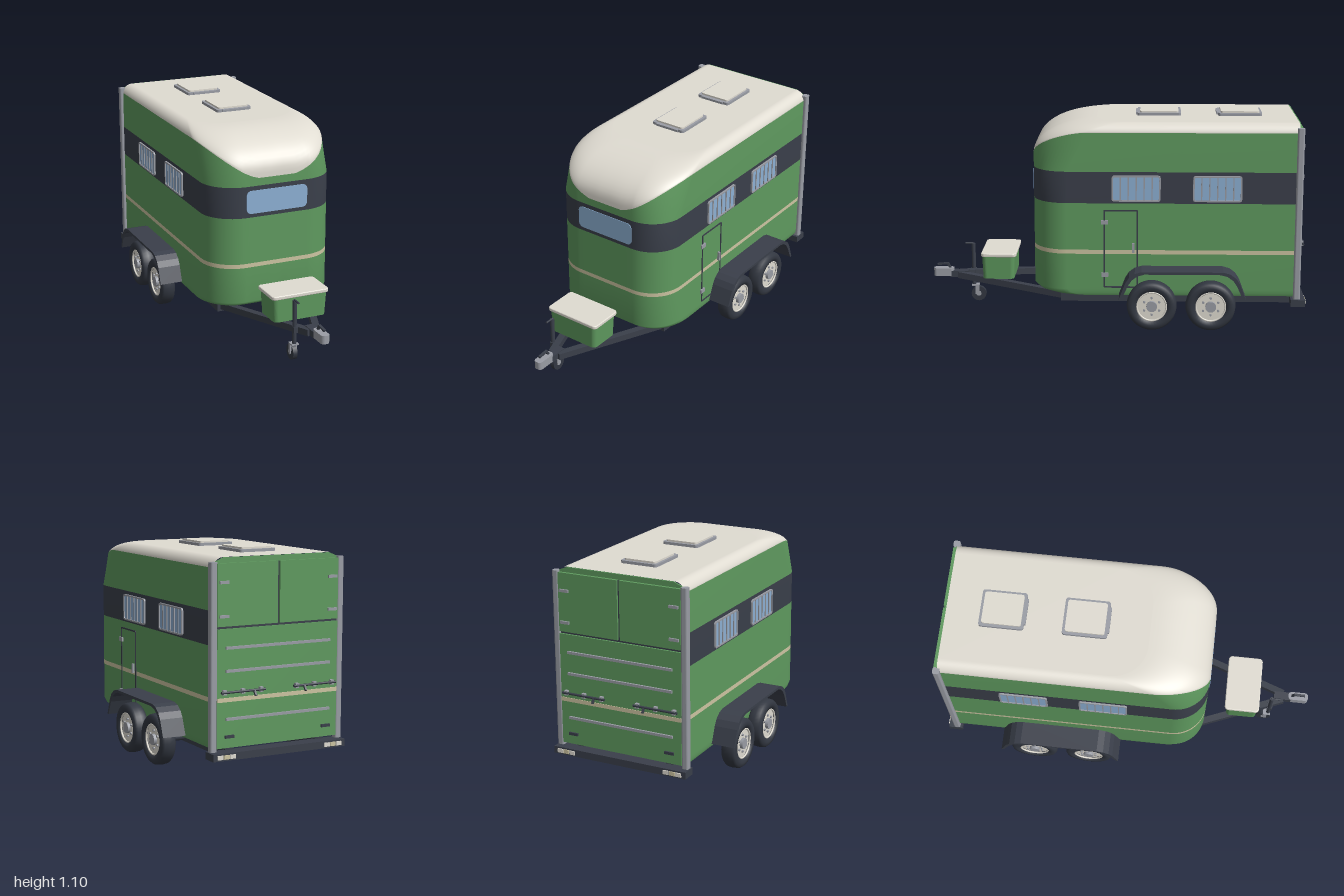
import * as THREE from 'three';

const mat = (name, color) => {
  const m = new THREE.MeshStandardMaterial({ color });
  m.name = name;
  return m;
};

export function createModel() {
  const green = mat('green paint', 0x5f9a5f), white = mat('roof white', 0xe0dcd2);
  const dark = mat('dark steel', 0x3a3f4a), tyre = mat('tyre rubber', 0x333842);
  const grey = mat('grey metal', 0x9a9da5), blue = mat('window glass', 0x8db0d4);
  const beige = mat('stripe beige', 0xcdc5a2);
  const model = new THREE.Group();
  model.name = 'horseTrailer';

  const add = (name, geo, m, x = 0, y = 0, z = 0, parent = model) => {
    const mesh = new THREE.Mesh(geo, m);
    mesh.name = name;
    mesh.position.set(x, y, z);
    parent.add(mesh);
    return mesh;
  };
  const box = (name, m, sx, sy, sz, x, y, z, parent) =>
    add(name, new THREE.BoxGeometry(sx, sy, sz), m, x, y, z, parent);
  const rod = (name, m, r, len, axis, x, y, z, parent) => {
    const g = new THREE.CylinderGeometry(r, r, len, 16);
    if (axis === 'x') g.rotateZ(Math.PI / 2);
    if (axis === 'z') g.rotateX(Math.PI / 2);
    return add(name, g, m, x, y, z, parent);
  };
  const beam = (name, m, a, b, w, h) => {
    const p = new THREE.Vector3(...a), q = new THREE.Vector3(...b);
    const mesh = box(name, m, w, h, p.distanceTo(q), 0, 0, 0);
    mesh.position.copy(p).add(q).multiplyScalar(0.5);
    mesh.lookAt(q);
    return mesh;
  };
  const roundRect = (w, h, r, S = THREE.Shape) => {
    const s = new S(), x = w / 2, y = h / 2, q = Math.PI / 2;
    s.absarc(x - r, y - r, r, 0, q);
    s.absarc(r - x, y - r, r, q, 2 * q);
    s.absarc(r - x, r - y, r, 2 * q, 3 * q);
    s.absarc(x - r, r - y, r, 3 * q, 4 * q);
    s.closePath();
    return s;
  };
  const slab = (shape, depth) =>
    new THREE.ExtrudeGeometry(shape, { depth, bevelEnabled: false, curveSegments: 8 });
  const frame = (w, h, r, t, depth) => {
    const s = roundRect(w, h, r);
    s.holes.push(roundRect(w - 2 * t, h - 2 * t, r * 0.6, THREE.Path));
    return slab(s, depth);
  };

  // Body shell: plan outline swept up, with coloured bands
  const TOP = 1.076, BACK = -0.945, R = 0.18;
  const arc = t => 1 - Math.sqrt(Math.max(0, 1 - t * t));
  const halfWidth = y => 0.352 - 0.06 * arc(Math.max(0, (y - 1.014) / 0.062)) - 0.012 * arc(Math.max(0, (0.2 - y) / 0.04));
  const frontZ = y => 0.428 - 0.33 * arc(Math.max(0, (y - 0.895) / (TOP - 0.895))) - 0.13 * arc(Math.max(0, (0.2 - y) / 0.036));
  const half = [{ back: true }];
  for (let i = 0; i <= 16; i++) half.push({ a: (i / 16) * Math.PI / 2 });
  for (const k of [0.8, 0.6, 0.4, 0.2]) half.push({ k });
  const outline = [...half.map(p => ({ ...p, s: 1 })), ...half.map(p => ({ ...p, s: -1 })).reverse()];
  const N = outline.length;
  const at = (p, y) => {
    const w = halfWidth(y), f = frontZ(y);
    if (p.back) return [p.s * w, y, BACK];
    if (p.k) return [p.s * p.k * (w - R), y, f];
    return [p.s * (w - R + R * Math.cos(p.a)), y, f - R + R * Math.sin(p.a)];
  };
  // lower edge of the roof colour dips at the nose
  const roofEdge = p => 0.865 + 0.163 * Math.max(0, (Math.abs(at(p, 0.6)[0]) - 0.1) / 0.252) ** 1.4;
  const rows = [0.166, 0.17, 0.18, 0.2, 0.39, 0.412, 0.66, 0.825].map(y => () => y);
  for (let i = 0; i <= 14; i++)
    rows.push(p => roofEdge(p) + (TOP - roofEdge(p)) * Math.sin((i / 14) * Math.PI / 2));
  const bands = [green, beige, dark, white];
  const bandOf = r => (r === 4 ? 1 : r === 6 ? 2 : r >= 8 ? 3 : 0);
  const shell = new THREE.BufferGeometry(), pos = [], idx = [];
  rows.forEach((fy, r) => {
    for (const p of outline) pos.push(...at(p, fy(p)));
    if (r === rows.length - 1) return;
    shell.addGroup(idx.length, (N - 1) * 6, bandOf(r));
    for (let i = 0; i < N - 1; i++) {
      const a = r * N + i, c = a + N;
      idx.push(a, c, a + 1, a + 1, c, c + 1);
    }
  });
  shell.setAttribute('position', new THREE.Float32BufferAttribute(pos, 3));
  shell.setIndex(idx);
  shell.computeVertexNormals();
  add('bodyShell', shell, bands);

  // Flat roof and floor close the shell
  const cap = (name, y, up, m) => {
    const g = new THREE.BufferGeometry(), id = [];
    g.setAttribute('position', new THREE.Float32BufferAttribute(outline.flatMap(p => at(p, y)), 3));
    for (let i = 0; i < N / 2 - 1; i++) {
      const a = i, b = i + 1, c = N - 1 - i, d = N - 2 - i;
      id.push(...(up ? [a, c, b, b, c, d] : [a, b, c, b, d, c]));
    }
    g.setIndex(id);
    g.computeVertexNormals();
    add(name, g, m);
  };
  cap('roofTop', TOP, true, white);
  cap('floor', 0.166, false, green);

  // Rear wall, top doors and ramp
  const wall = new THREE.Shape([[-0.35, 0.166], [0.35, 0.166], [0.352, 1.014], [0.334, 1.058], [0.292, 1.075],
    [-0.292, 1.075], [-0.334, 1.058], [-0.352, 1.014]].map(p => new THREE.Vector2(...p)));
  add('rearWall', slab(wall, 0.008), green, 0, 0, BACK - 0.006);
  box('rearSeams', dark, 0.67, 0.88, 0.006, 0, 0.607, -0.953);
  box('ramp', green, 0.67, 0.57, 0.016, 0, 0.455, -0.958);
  box('rampStripe', beige, 0.67, 0.02, 0.004, 0, 0.402, -0.967);
  for (const y of [0.65, 0.54, 0.31]) box('rampRib', grey, 0.58, 0.013, 0.012, 0, y, -0.97);
  for (const s of [1, -1]) {
    box('topDoor', green, 0.329, 0.297, 0.016, s * 0.1705, 0.9, -0.958);
    for (const y of [0.96, 0.8]) box('doorHinge', grey, 0.05, 0.014, 0.01, s * 0.3, y, -0.97);
    box('rampHinge', dark, 0.05, 0.014, 0.01, s * 0.27, 0.225, -0.97);
    // sliding latch
    rod('latchBar', dark, 0.006, 0.24, 'x', s * 0.2, 0.44, -0.98);
    for (const x of [0.1, 0.2, 0.3]) box('latchBracket', grey, 0.018, 0.024, 0.018, s * x, 0.44, -0.974);
    beam('latchHandle', dark, [s * 0.14, 0.44, -0.98], [s * 0.14, 0.415, -0.995], 0.01, 0.01);
    // corner posts
    add('cornerPost', slab(roundRect(0.036, 0.036, 0.01), 0.9).rotateX(-Math.PI / 2), grey, s * 0.351, 0.155, -0.949);
    ['a', 'b', 'c'].forEach((_, i) =>
      box('rearLamp', i === 1 ? beige : white, 0.03, 0.02, 0.006, s * (0.265 + i * 0.034), 0.134, -0.997));
  }
  box('bumper', dark, 0.74, 0.036, 0.075, 0, 0.134, -0.957);

  // Windows
  add('frontWindow', slab(roundRect(0.34, 0.122, 0.026), 0.006), blue, 0, 0.741, 0.425);
  for (const s of [1, -1]) for (const z of [-0.112, -0.53]) {
    const w = new THREE.Group();
    w.name = 'sideWindow';
    w.position.set(s * 0.352, 0.739, z);
    w.rotation.y = s * Math.PI / 2;
    model.add(w);
    add('glass', slab(roundRect(0.245, 0.13, 0.012), 0.004), blue, 0, 0, 0, w);
    add('windowFrame', frame(0.252, 0.136, 0.014, 0.008, 0.009), grey, 0, 0, 0, w);
    for (let i = 0; i < 5; i++) box('windowBar', grey, 0.006, 0.124, 0.005, (i - 2) * 0.041, 0, 0.006, w);
  }

  // Groom door on the left side
  const door = add('groomDoorSeam', frame(0.18, 0.418, 0.008, 0.008, 0.004), dark, 0.351, 0.417, -0.033);
  door.rotation.y = Math.PI / 2;
  for (const y of [0.56, 0.28]) box('groomDoorHinge', grey, 0.01, 0.022, 0.036, 0.356, y, 0.05);
  box('groomDoorHandle', grey, 0.014, 0.05, 0.012, 0.358, 0.425, -0.098);

  // Roof vents
  for (const z of [-0.23, -0.655]) {
    const base = add('ventFrame', slab(roundRect(0.2, 0.23, 0.014), 0.016), grey, 0, TOP - 0.002, z);
    base.rotation.x = -Math.PI / 2;
    const lid = add('ventLid', slab(roundRect(0.172, 0.202, 0.012), 0.012), white, 0, TOP + 0.011, z);
    lid.rotation.x = -Math.PI / 2;
    box('ventHandle', grey, 0.14, 0.012, 0.012, 0, TOP + 0.008, z + 0.117);
  }

  // Chassis
  for (const s of [1, -1]) {
    box('chassisRail', dark, 0.04, 0.054, 1.22, s * 0.253, 0.137, -0.325);
    beam('drawbar', dark, [s * 0.243, 0.137, 0.27], [s * 0.018, 0.178, 0.86], 0.036, 0.034);
  }
  for (const z of [0.25, 0, -0.35, -0.68]) box('crossMember', dark, 0.5, 0.036, 0.036, 0, 0.14, z);

  // Wheels and mudguards
  const tyreProfile = [[0.072, -0.03], [0.1, -0.04], [0.118, -0.037], [0.127, -0.026], [0.13, 0],
    [0.127, 0.026], [0.118, 0.037], [0.1, 0.04], [0.08, 0.034], [0.078, 0.015]].map(p => new THREE.Vector2(...p));
  const arch = [[0.327, 0.18], [0.295, 0.265], [0.275, 0.296], [0.245, 0.318], [0.21, 0.328]];
  const guard = new THREE.Shape([
    ...arch.map(([u, y]) => [u, y]), ...arch.map(([u, y]) => [-u, y]).reverse(),
    ...arch.map(([u, y]) => [0.014 - u, y - (y > 0.2 ? 0.013 : 0)]),
    ...arch.map(([u, y]) => [u - 0.014, y - (y > 0.2 ? 0.013 : 0)]).reverse(),
  ].map(p => new THREE.Vector2(...p)));
  for (const z of [-0.195, -0.5]) {
    rod('axle', dark, 0.02, 0.76, 'x', 0, 0.134, z);
    for (const s of [1, -1]) {
      const w = new THREE.Group();
      w.name = 'wheel';
      w.position.set(s * 0.411, 0.134, z);
      w.rotation.z = -s * Math.PI / 2;
      model.add(w);
      add('tyre', new THREE.LatheGeometry(tyreProfile, 40), tyre, 0, 0, 0, w);
      rod('rim', white, 0.079, 0.05, 'y', 0, -0.003, 0, w);
      add('rimLip', new THREE.TorusGeometry(0.076, 0.005, 8, 32).rotateX(Math.PI / 2), white, 0, 0.03, 0, w);
      rod('hub', grey, 0.028, 0.02, 'y', 0, 0.028, 0, w);
      for (let i = 0; i < 6; i++) {
        const a = i * Math.PI / 3;
        rod('wheelNut', grey, 0.006, 0.01, 'y', 0.045 * Math.cos(a), 0.025, 0.045 * Math.sin(a), w);
      }
    }
  }
  for (const s of [1, -1])
    add('mudguard', slab(guard, 0.127).rotateY(Math.PI / 2), dark, s > 0 ? 0.348 : -0.475, 0, -0.352);

  // Coupling
  box('couplingNeck', dark, 0.045, 0.034, 0.1, 0, 0.18, 0.86);
  const head = add('couplingHead', slab(roundRect(0.046, 0.11, 0.018), 0.046).rotateX(-Math.PI / 2), grey, 0, 0.168, 0.945);
  head.scale.y = 0.95;
  beam('couplingLever', dark, [0, 0.21, 0.91], [0, 0.236, 0.925], 0.012, 0.012);
  beam('couplingLever', dark, [0, 0.236, 0.92], [0, 0.23, 0.98], 0.012, 0.01);

  // Jockey wheel
  rod('jockeyPost', dark, 0.011, 0.24, 'y', -0.07, 0.21, 0.79);
  box('jockeyClamp', dark, 0.05, 0.03, 0.03, -0.055, 0.175, 0.79);
  rod('jockeyCrank', dark, 0.005, 0.05, 'z', -0.07, 0.331, 0.81);
  for (const s of [1, -1]) box('jockeyFork', grey, 0.006, 0.055, 0.022, -0.07 + s * 0.016, 0.07, 0.772);
  box('jockeyForkTop', grey, 0.038, 0.008, 0.04, -0.07, 0.095, 0.782);
  rod('jockeyWheel', tyre, 0.041, 0.024, 'x', -0.07, 0.046, 0.765);
  rod('jockeyHub', grey, 0.014, 0.03, 'x', -0.07, 0.046, 0.765);

  // Tool box with tapered tub
  const tub = slab(roundRect(0.302, 0.176, 0.024), 0.125).rotateX(-Math.PI / 2);
  const tp = tub.attributes.position;
  for (let i = 0; i < tp.count; i++) {
    const k = 0.95 + 0.05 * (tp.getY(i) / 0.125);
    tp.setXYZ(i, tp.getX(i) * k, tp.getY(i), tp.getZ(i) * k);
  }
  tub.computeVertexNormals();
  add('toolBox', tub, green, 0, 0.19, 0.63);
  add('toolBoxLid', new THREE.ExtrudeGeometry(roundRect(0.306, 0.18, 0.016),
    { depth: 0.01, bevelSize: 0.005, bevelThickness: 0.005, bevelSegments: 3 }).rotateX(-Math.PI / 2), white, 0, 0.318, 0.628);
  return model;
}
